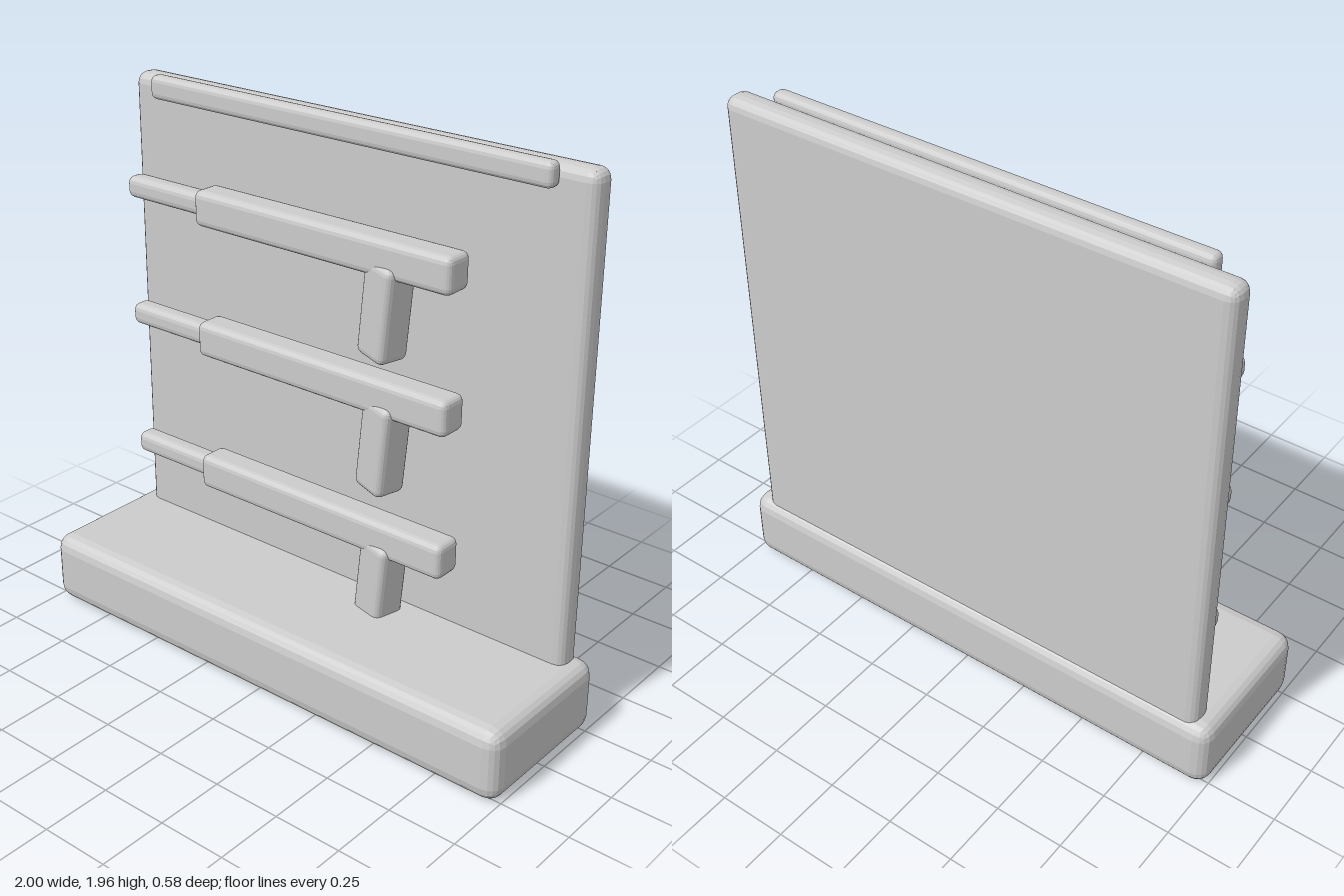
import * as THREE from 'three';
import { RoundedBoxGeometry } from 'three/addons/geometries/RoundedBoxGeometry.js';

const grey = new THREE.MeshStandardMaterial({ color: 0xcccccc, flatShading: true });
grey.name = 'lightGrey';

// Bevelled block of size [w, h, d] centred at [x, y, z]
function block(name, size, position, bevel) {
  const mesh = new THREE.Mesh(new RoundedBoxGeometry(...size, 2, bevel), grey);
  mesh.name = name;
  mesh.position.set(...position);
  return mesh;
}

// One rack item: long body, thin barrel and a tilted, slightly turned grip
function rackItem(y) {
  const item = new THREE.Group();
  item.name = 'rackItem';
  item.position.y = y;
  const grip = block('grip', [0.135, 0.34, 0.12], [0.253, -0.185, -0.086], 0.025);
  grip.rotation.set(0, -0.25, -0.12);
  item.add(
    block('body', [1.07, 0.128, 0.114], [0, 0, -0.086], 0.025),
    block('barrel', [0.38, 0.078, 0.076], [-0.695, 0, -0.096], 0.025),
    grip
  );
  return item;
}

export function createModel() {
  const model = new THREE.Group();
  model.name = 'displayRack';
  model.add(
    block('base', [2, 0.265, 0.585], [0, 0.1325, 0], 0.055),
    block('backPanel', [1.88, 1.8, 0.1], [0, 1.042, -0.22], 0.04),
    block('topRail', [1.63, 0.084, 0.056], [0, 1.914, -0.148], 0.022)
  );
  for (const y of [1.56, 1.08, 0.56]) model.add(rackItem(y));
  return model;
}
